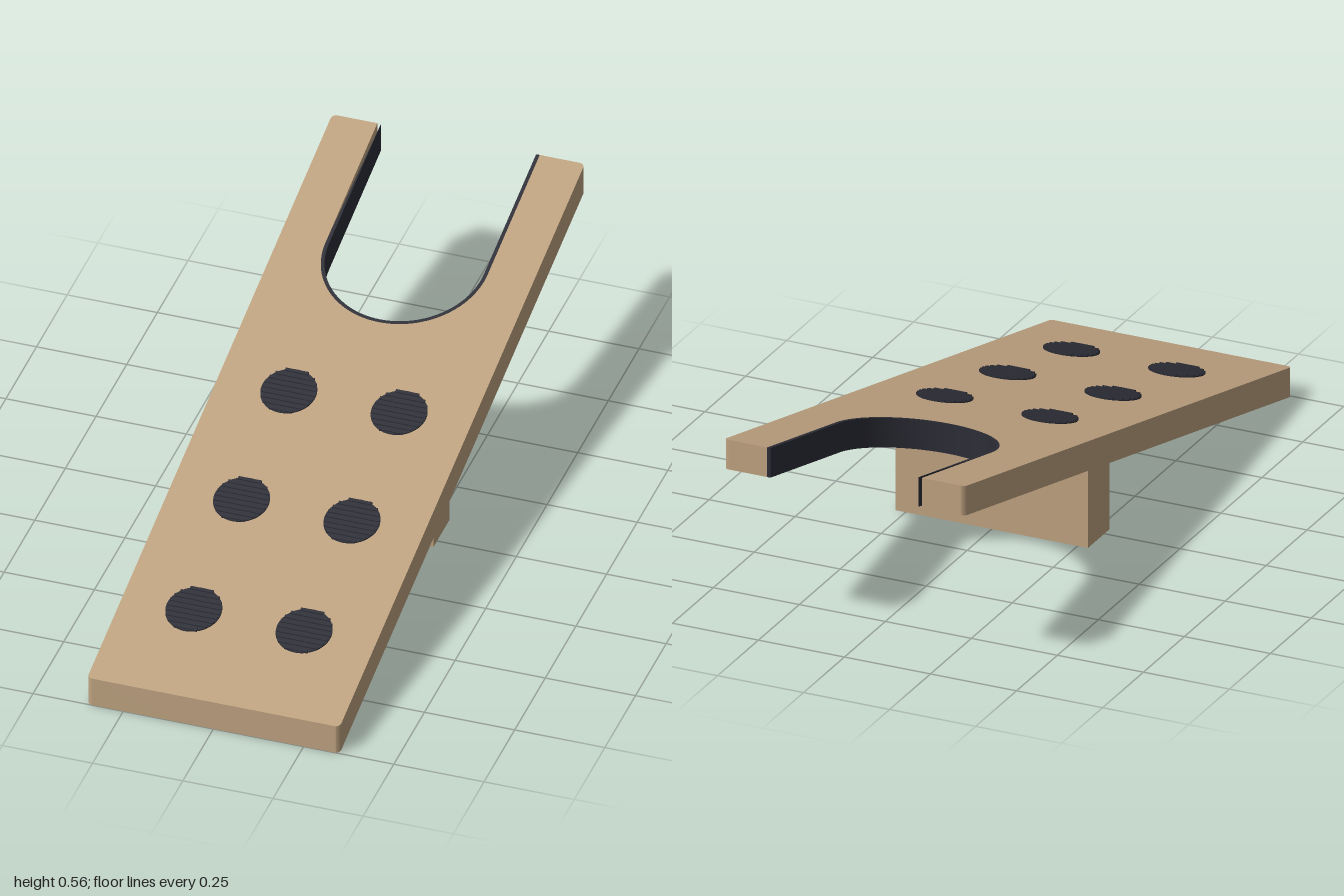
import * as THREE from 'three';
import { toCreasedNormals } from 'three/addons/utils/BufferGeometryUtils.js';

const SLOPE = 0.2375; // rise of the board per unit towards the back
const THICK = 0.085;  // vertical thickness of the board
const NOTCH_Y = 0.575; // centre of the notch arc (plan y = -z)

// Extrude a plan outline (x, -z) upward, then shear it to follow the slope.
function slopedSlab(shape, bottom, height) {
  const geo = new THREE.ExtrudeGeometry(shape, { depth: height, bevelEnabled: false, curveSegments: 24 });
  geo.rotateX(-Math.PI / 2);
  const p = geo.attributes.position;
  for (let i = 0; i < p.count; i++) p.setY(i, p.getY(i) + bottom + SLOPE * (1 - p.getZ(i)));
  geo.computeVertexNormals();
  return toCreasedNormals(geo, 0.5);
}

// Board outline with rounded corners and a U-shaped notch at the back.
function boardShape(notch) {
  const w = 0.35, r = 0.014, s = new THREE.Shape();
  s.moveTo(-w + r, -1);
  s.lineTo(w - r, -1);
  s.absarc(w - r, -1 + r, r, -Math.PI / 2, 0);
  s.absarc(w - r, 1 - r, r, 0, Math.PI / 2);
  s.lineTo(notch, 1);
  s.absarc(0, NOTCH_Y, notch, 0, -Math.PI, true);
  s.lineTo(-notch, 1);
  s.absarc(-w + r, 1 - r, r, Math.PI / 2, Math.PI);
  s.absarc(-w + r, -1 + r, r, Math.PI, Math.PI * 1.5);
  return s;
}

// Thin U-shaped strip lining the notch.
function linerShape(inner, outer) {
  const s = new THREE.Shape();
  s.moveTo(-outer, 1);
  s.absarc(0, NOTCH_Y, outer, Math.PI, Math.PI * 2);
  s.lineTo(outer, 1);
  s.lineTo(inner, 1);
  s.absarc(0, NOTCH_Y, inner, 0, -Math.PI, true);
  s.lineTo(-inner, 1);
  return s;
}

export function createModel() {
  const wood = new THREE.MeshStandardMaterial({ color: 0xbea280 });
  wood.name = 'wood';
  const rubber = new THREE.MeshStandardMaterial({ color: 0x2c2d36 });
  rubber.name = 'rubber';

  const model = new THREE.Group();
  model.name = 'bootJack';
  const add = (name, geo, mat, parent = model) => {
    const mesh = new THREE.Mesh(geo, mat);
    mesh.name = name;
    parent.add(mesh);
  };

  add('board', slopedSlab(boardShape(0.225), 0, THICK), wood);
  add('notchLiner', slopedSlab(linerShape(0.215, 0.225), 0, THICK), rubber);

  // Support block, its top cut to meet the sloping underside.
  const block = new THREE.BoxGeometry(0.56, 1, 0.13);
  block.translate(0, 0.5, -0.035);
  const p = block.attributes.position;
  for (let i = 0; i < p.count; i++) {
    if (p.getY(i) > 0.5) p.setY(i, SLOPE * (1 - p.getZ(i)) + 0.005);
  }
  block.computeVertexNormals();
  add('supportBlock', block, wood);

  // Six round grip pads with fine ridges running across them.
  const R = 0.075, RIDGES = 9, pitch = (2 * R) / RIDGES;
  for (const z of [-0.065, 0.32, 0.71]) {
    for (const x of [-0.153, 0.153]) {
      const pad = new THREE.Group();
      pad.name = 'gripPad';
      const disc = new THREE.Shape().absarc(x, -z, R, 0, Math.PI * 2);
      add('padDisc', slopedSlab(disc, THICK - 0.002, 0.005), rubber, pad);
      for (let i = 0; i < RIDGES; i++) {
        const dz = (i - (RIDGES - 1) / 2) * pitch;
        const half = Math.sqrt(R * R - dz * dz) - 0.002, d = pitch * 0.27;
        const bar = new THREE.Shape();
        bar.moveTo(x - half, -z - dz - d);
        bar.lineTo(x + half, -z - dz - d);
        bar.lineTo(x + half, -z - dz + d);
        bar.lineTo(x - half, -z - dz + d);
        add('padRidge', slopedSlab(bar, THICK + 0.001, 0.005), rubber, pad);
      }
      model.add(pad);
    }
  }
  return model;
}
